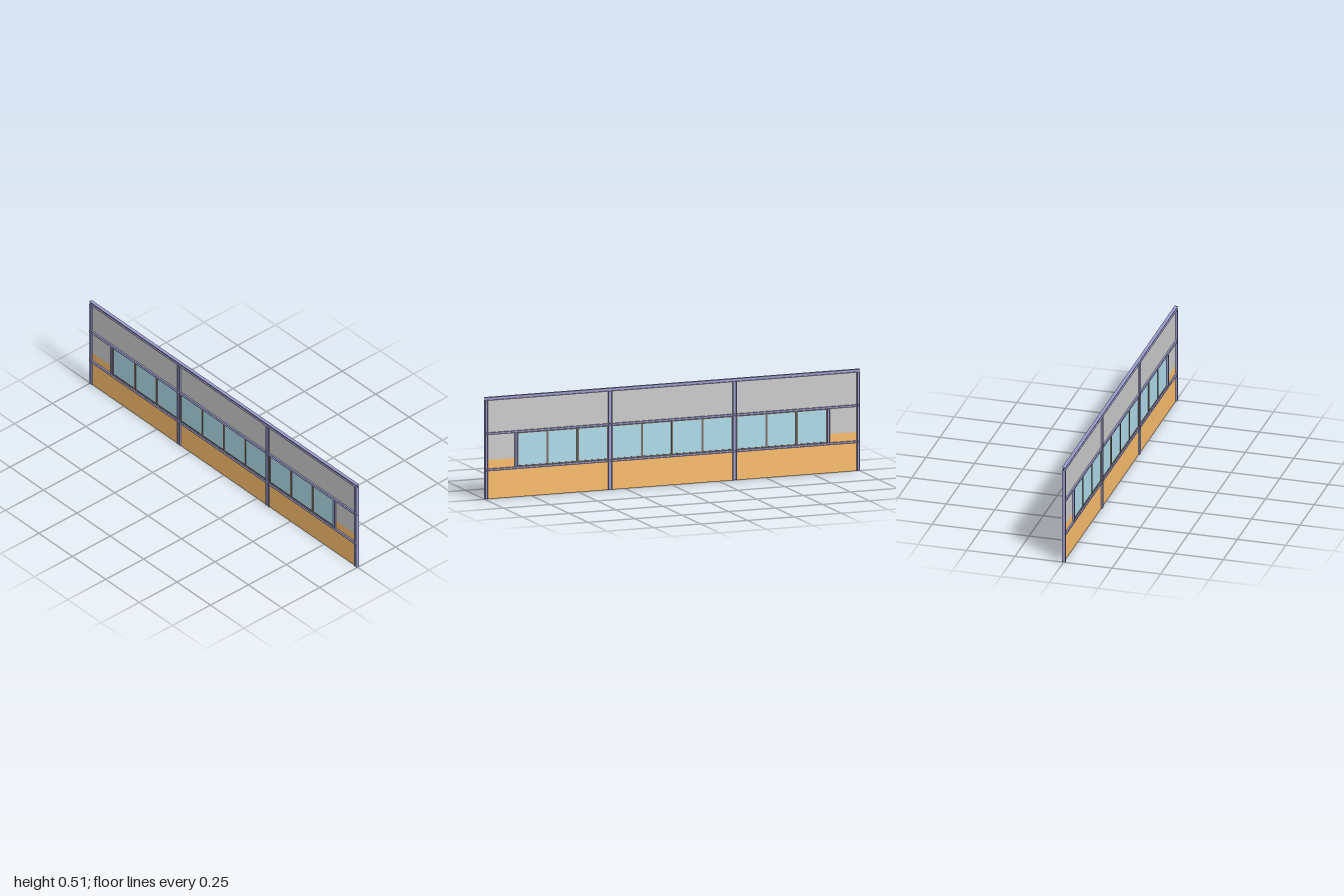
import * as THREE from 'three';

const mat = (color) => new THREE.MeshStandardMaterial({ color, side: THREE.DoubleSide });

export function createModel() {
  const model = new THREE.Group();
  const steel = mat(0x9b9bcc);
  const wood = mat(0xfabd6c);
  const plaster = mat(0xcccccc);
  const glass = mat(0xaedbea);
  const sash = mat(0x7c6c5e);

  const HALF = 0.009; // half the flange width across the wall
  const SHEET = 0.0012; // sheet thickness of the steel

  // Upright slab of thickness t spanning y0..y1 and z0..z1
  function slab(parent, name, material, t, y0, y1, z0, z1) {
    const mesh = new THREE.Mesh(new THREE.BoxGeometry(t, y1 - y0, z1 - z0), material);
    mesh.position.set(0, (y0 + y1) / 2, (z0 + z1) / 2);
    mesh.name = name;
    parent.add(mesh);
  }

  // I-section: web in the wall plane, two flanges across it
  function beam(name, y0, y1, z0, z1, upright) {
    const g = new THREE.Group();
    g.name = name;
    slab(g, 'web', steel, 0.003, y0, y1, z0, z1);
    if (upright) {
      slab(g, 'flange', steel, HALF * 2, y0, y1, z0, z0 + SHEET);
      slab(g, 'flange', steel, HALF * 2, y0, y1, z1 - SHEET, z1);
    } else {
      slab(g, 'flange', steel, HALF * 2, y0, y0 + SHEET, z0, z1);
      slab(g, 'flange', steel, HALF * 2, y1 - SHEET, y1, z0, z1);
    }
    model.add(g);
  }

  // Columns, top beam and rails
  for (const s of [-1, 1]) {
    beam('endColumn', 0, 0.496, s * 0.992 - 0.0075, s * 0.992 + 0.0075, true);
    beam('middleColumn', 0, 0.498, s * 0.332 - 0.01, s * 0.332 + 0.01, true);
    beam('windowPost', 0.153, 0.325, s * 0.833 - 0.007, s * 0.833 + 0.007, true);
  }
  beam('topBeam', 0.497, 0.513, -1, 1, false);
  beam('upperRail', 0.324, 0.335, -1, 1, false);
  beam('lowerRail', 0.142, 0.153, -1, 1, false);

  // Infill panels
  slab(model, 'lowerPanel', wood, 0.001, 0, 0.148, -0.99, 0.99);
  slab(model, 'upperPanel', plaster, 0.001, 0.33, 0.5, -0.99, 0.99);
  for (const s of [-1, 1]) {
    const z0 = s > 0 ? 0.833 : -0.99;
    const z1 = s > 0 ? 0.99 : -0.833;
    slab(model, 'sideLowerPanel', wood, 0.001, 0.148, 0.196, z0, z1);
    slab(model, 'sideUpperPanel', plaster, 0.001, 0.196, 0.33, z0, z1);
  }

  // Framed windows: three, four and three panes per bay
  const bays = [[-0.826, -0.342, 3], [-0.322, 0.322, 4], [0.342, 0.826, 3]];
  const y0 = 0.153, y1 = 0.324, f = 0.005;
  for (const [start, end, count] of bays) {
    const step = (end - start) / count;
    for (let i = 0; i < count; i++) {
      const a = start + i * step;
      const b = a + step;
      const win = new THREE.Group();
      win.name = 'window';
      slab(win, 'glassPane', glass, 0.001, y0 + f, y1 - f, a + f, b - f);
      slab(win, 'frameBottom', sash, 0.006, y0, y0 + f, a, b);
      slab(win, 'frameTop', sash, 0.006, y1 - f, y1, a, b);
      slab(win, 'frameSide', sash, 0.006, y0 + f, y1 - f, a, a + f);
      slab(win, 'frameSide', sash, 0.006, y0 + f, y1 - f, b - f, b);
      model.add(win);
    }
  }

  return model;
}
